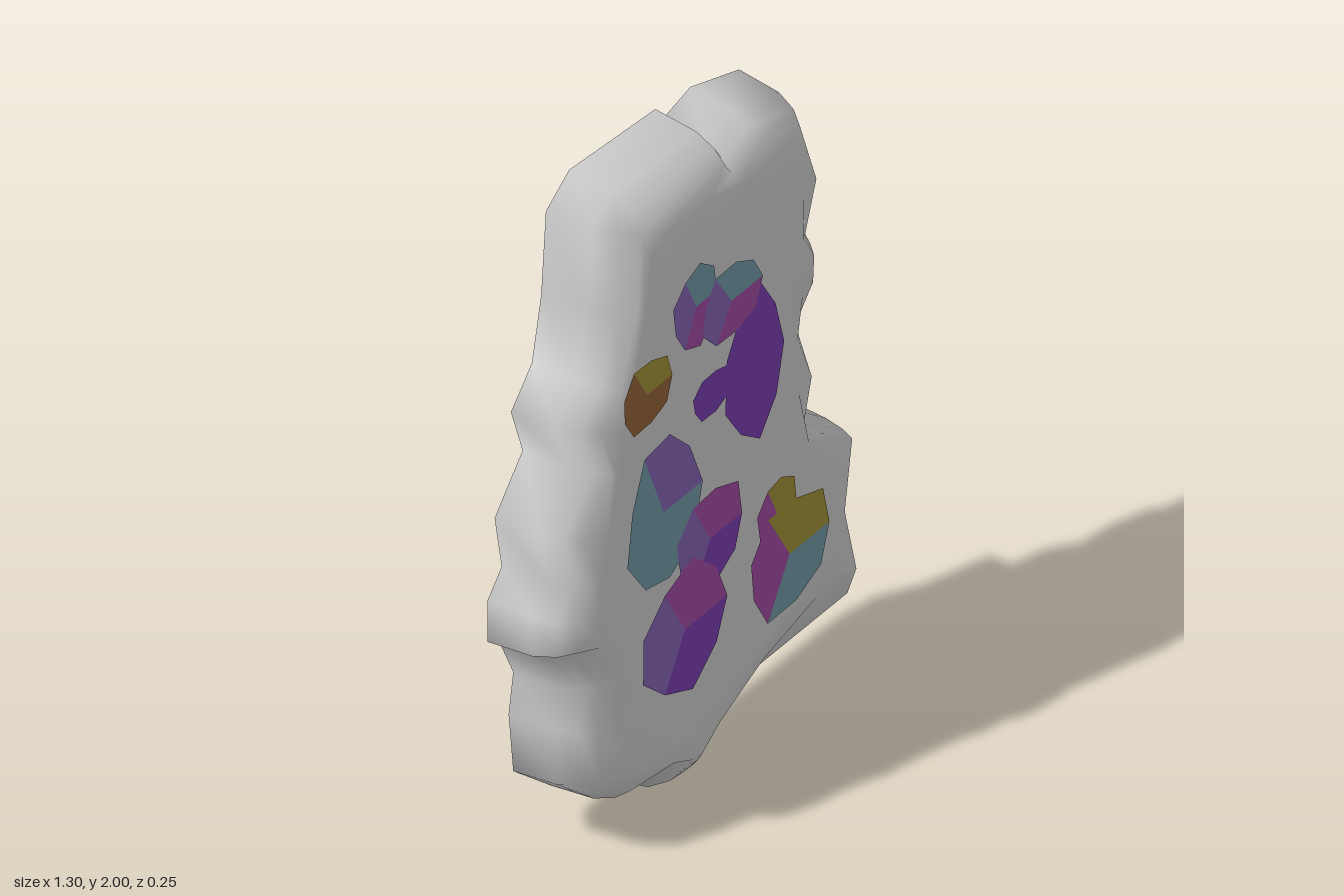
import * as THREE from 'three';

// Outer edge of the slab, clockwise from the upper left: x, y
const EDGE = [
  [-0.40, 1.93], [-0.30, 2.00], [0.07, 1.97], [0.10, 1.92], [0.22, 1.95], [0.43, 1.88],
  [0.52, 1.63], [0.47, 1.47], [0.51, 1.40], [0.50, 1.28], [0.43, 1.22], [0.50, 1.02],
  [0.45, 0.88], [0.63, 0.73], [0.60, 0.51], [0.65, 0.30], [0.59, 0.22], [0.15, 0.18],
  [0.07, 0.08], [-0.02, 0.00], [-0.15, 0.01], [-0.21, 0.08], [-0.38, 0.12], [-0.54, 0.26],
  [-0.56, 0.45], [-0.54, 0.57], [-0.60, 0.70], [-0.65, 0.73], [-0.65, 0.86], [-0.59, 0.93],
  [-0.62, 1.10], [-0.50, 1.24], [-0.55, 1.39], [-0.46, 1.49], [-0.42, 1.68],
].map(([x, y]) => new THREE.Vector2(x, y));
const N = EDGE.length;
const BACK = -0.13;

// How far the wall leans in: steep at the lower right, sloping at the foot and upper left
function lean({ x, y }) {
  if (x > 0.5 && y < 0.8) return 0.4;
  if (y < 0.1) return 1.6;
  return x < -0.2 && y > 1.6 ? 1.5 : 1;
}

// Move a loop inwards, evening it out as it goes
function inset(loop, distance, smoothing) {
  const before = (a, i) => a[(i + N - 1) % N];
  const after = (a, i) => a[(i + 1) % N];
  let pts = loop;
  for (let s = 0; s < smoothing; s++) {
    const old = pts;
    pts = old.map((p, i) => p.clone().multiplyScalar(2).add(before(old, i)).add(after(old, i)).multiplyScalar(0.25));
  }
  return pts.map((p, i) => {
    const t = after(pts, i).clone().sub(before(pts, i)).normalize();
    const d = smoothing ? distance : distance * lean(p);
    return new THREE.Vector2(p.x + t.y * d, p.y - t.x * d);
  });
}

function bufferGeometry(positions, index) {
  const g = new THREE.BufferGeometry();
  g.setAttribute('position', new THREE.Float32BufferAttribute(positions, 3));
  g.setIndex(index);
  g.computeVertexNormals();
  return g;
}

// Triangles that fill a loop, all turned to the front (+1) or the back (-1)
function fillLoop(pts, facing) {
  return THREE.ShapeUtils.triangulateShape(pts, []).flatMap(([a, b, c]) => {
    const turn = pts[b].clone().sub(pts[a]).cross(pts[c].clone().sub(pts[a]));
    return turn * facing > 0 ? [a, b, c] : [a, c, b];
  });
}

// Rounded wall and front, lofted through insets of the edge
function shellGeometry() {
  // inset, z, smoothing
  const rings = [[0, BACK, 0], [0.013, 0, 0], [0.038, 0.06, 0], [0.07, 0.096, 0], [0.12, 0.114, 1], [0.18, 0.118, 2]];
  const positions = [], index = [];
  let loop;
  rings.forEach(([distance, z, smoothing], r) => {
    loop = inset(EDGE, distance, smoothing);
    loop.forEach(p => positions.push(p.x, p.y, z));
    if (r === 0) return;
    for (let i = 0; i < N; i++) {
      const j = (i + 1) % N, a = (r - 1) * N, b = r * N;
      index.push(a + i, b + i, a + j, a + j, b + i, b + j);
    }
  });
  const base = (rings.length - 1) * N;
  index.push(...fillLoop(loop, 1).map(i => base + i));
  return bufferGeometry(positions, index);
}

// Flat sheet over chosen edge points, facing the back
function backGeometry(pts) {
  return bufferGeometry(pts.flatMap(p => [p.x, p.y, BACK]), fillLoop(pts, -1));
}

function addMesh(parent, name, geometry, color = 0xcccccc) {
  const mesh = new THREE.Mesh(geometry, new THREE.MeshStandardMaterial({ color, side: THREE.DoubleSide }));
  mesh.name = name;
  parent.add(mesh);
}

// Coloured inlays, each of one or two chipped lobes: x, y, half width, half height
const PURPLE = 0x7a3cae, VIOLET = 0x8562b4, TEAL = 0x709aa5, MAGENTA = 0xa04aa0, GOLD = 0xa09038, RUST = 0x936238;
const INLAYS = [
  { name: 'upperInlay', colors: [TEAL, VIOLET, MAGENTA], lobes: [[-0.10, 1.56, 0.10, 0.13], [0.05, 1.49, 0.13, 0.12]] },
  { name: 'amberInlay', colors: [GOLD, RUST, RUST], lobes: [[-0.31, 1.41, 0.11, 0.11]] },
  { name: 'violetInlay', colors: [PURPLE, PURPLE, PURPLE], lobes: [[0.15, 1.23, 0.13, 0.24], [-0.03, 1.25, 0.09, 0.07]] },
  { name: 'tealInlay', colors: [VIOLET, TEAL, TEAL], lobes: [[-0.24, 1.00, 0.16, 0.24]] },
  { name: 'lowerInlay', colors: [MAGENTA, VIOLET, PURPLE], lobes: [[-0.04, 0.80, 0.15, 0.16], [-0.15, 0.58, 0.19, 0.20]] },
  { name: 'goldInlay', colors: [GOLD, MAGENTA, TEAL], lobes: [[0.25, 0.70, 0.09, 0.12], [0.30, 0.55, 0.18, 0.18]] },
];

// One lobe as an uneven nine-sided fan, its facets shared out among the colours
function addLobe(parent, [x, y, rx, ry], colors, z) {
  const sides = 9;
  const corner = i => {
    const k = i % sides, angle = (k / sides) * Math.PI * 2, chip = 0.97 + 0.08 * Math.sin(k * 2.4 + x * 20);
    return [x + Math.cos(angle) * rx * chip, y + Math.sin(angle) * ry * chip, z];
  };
  const share = sides / colors.length;
  colors.forEach((color, c) => {
    const positions = [x, y, z], index = [];
    for (let i = 0; i <= share; i++) {
      positions.push(...corner(c * share + i));
      if (i > 0) index.push(0, i, i + 1);
    }
    addMesh(parent, 'inlayFacet', bufferGeometry(positions, index), color);
  });
}

export function createModel() {
  const model = new THREE.Group();
  model.name = 'rockSlab';
  addMesh(model, 'rockFace', shellGeometry());

  // Flat back, with a coloured facet across its lower corner
  const inCorner = p => p.x < -0.16 && p.y < 0.8;
  const first = EDGE.findIndex(inCorner), count = EDGE.filter(inCorner).length;
  addMesh(model, 'back', backGeometry(EDGE.filter(p => !inCorner(p))));
  addMesh(model, 'cornerFacet', backGeometry(EDGE.slice(first - 1, first + count + 1)), 0x8a2c5c);

  // Thin coloured sliver by the notch on the back
  addMesh(model, 'backSliver', bufferGeometry([0.50, 1.28, -0.132, 0.43, 1.22, -0.132, 0.20, 1.20, -0.132], [0, 1, 2]), TEAL);

  for (const { name, colors, lobes } of INLAYS) {
    const inlay = new THREE.Group();
    inlay.name = name;
    lobes.forEach((lobe, i) => addLobe(inlay, lobe, colors, 0.121 + i * 0.001));
    model.add(inlay);
  }
  return model;
}
